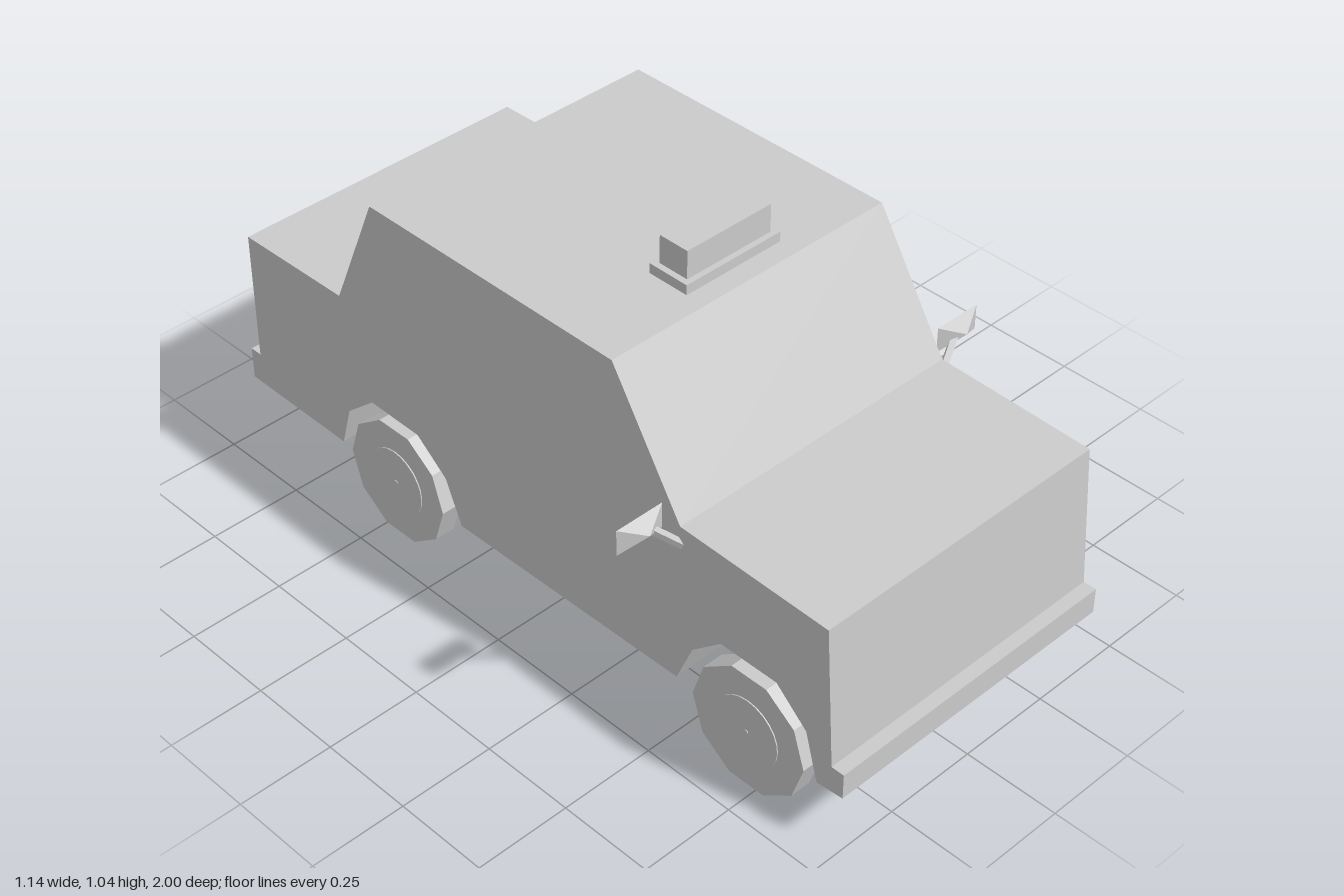
import * as THREE from 'three';

const HALF_W = 0.416;
const material = new THREE.MeshStandardMaterial({ color: 0xcccccc, flatShading: true });

function part(name, geometry, x = 0, y = 0, z = 0) {
  const mesh = new THREE.Mesh(geometry, material);
  mesh.name = name;
  mesh.position.set(x, y, z);
  return mesh;
}

// Cylinder lying along x, with a vertex pointing forward
function disc(radius, width, sides) {
  return new THREE.CylinderGeometry(radius, radius, width, sides).rotateZ(Math.PI / 2);
}

// Side silhouette as (z, y), extruded across the car
function makeBody() {
  const profile = [
    [1, 0.23], [0.965, 0.23], [0.938, 0.6], [0.51, 0.612], // front bumper, nose, hood
    [0.305, 0.94], [-0.48, 0.94], [-0.62, 0.62], // windshield, roof, rear window
    [-0.965, 0.614], [-0.965, 0.26], [-1, 0.26], [-1, 0.172], // trunk, rear bumper
    [-0.65, 0.167], [-0.617, 0.28], [-0.525, 0.358], [-0.36, 0.355], [-0.265, 0.28], [-0.215, 0.165], // rear arch
    [0.503, 0.173], [0.55, 0.285], [0.635, 0.36], [0.80, 0.36], [0.89, 0.28], [0.925, 0.155], // front arch
    [1, 0.162],
  ];
  const shape = new THREE.Shape(profile.map(([z, y]) => new THREE.Vector2(z, y)));
  const geometry = new THREE.ExtrudeGeometry(shape, { depth: 2 * HALF_W, bevelEnabled: false });
  geometry.rotateY(-Math.PI / 2).translate(HALF_W, 0, 0);
  return part('body', geometry);
}

// Ten-sided tyre with a shallow hubcap outside and an axle stub inside
function makeWheel(name, side, z) {
  const wheel = new THREE.Group();
  wheel.name = name;
  wheel.position.set(side * 0.388, 0.16, z);
  wheel.add(
    part('tyre', disc(0.167, 0.056, 10)),
    part('hubcap', disc(0.092, 0.006, 24), side * 0.028),
    part('hubPin', disc(0.006, 0.008, 8), side * 0.029),
    part('axleStub', disc(0.008, 0.05, 8), side * -0.05),
  );
  return wheel;
}

// Wing mirror: a flat pyramid pointing forward, on a slanted arm
function makeMirror(name, side) {
  const mirror = new THREE.Group();
  mirror.name = name;
  const housing = new THREE.ConeGeometry(Math.SQRT1_2, 1, 4)
    .rotateY(Math.PI / 4).rotateX(Math.PI / 2).scale(0.133, 0.068, 0.032);
  mirror.add(part('mirrorHousing', housing, side * 0.502, 0.636, 0.492));

  const start = new THREE.Vector3(side * 0.405, 0.555, 0.514);
  const end = new THREE.Vector3(side * 0.482, 0.632, 0.488);
  const direction = end.clone().sub(start);
  const arm = part('mirrorArm', new THREE.CylinderGeometry(0.011, 0.011, direction.length(), 4));
  arm.position.copy(start).add(end).multiplyScalar(0.5);
  arm.quaternion.setFromUnitVectors(new THREE.Vector3(0, 1, 0), direction.normalize());
  mirror.add(arm);
  return mirror;
}

export function createModel() {
  const car = new THREE.Group();
  car.name = 'car';
  car.add(makeBody());

  // Roof sign on its plinth
  car.add(
    part('signBase', new THREE.BoxGeometry(0.288, 0.03, 0.114), 0, 0.951, 0.194),
    part('signBox', new THREE.BoxGeometry(0.256, 0.08, 0.084), 0, 1.0, 0.194),
  );

  for (const [label, side] of [['Left', 1], ['Right', -1]]) {
    car.add(
      makeWheel('front' + label + 'Wheel', side, 0.72),
      makeWheel('rear' + label + 'Wheel', side, -0.45),
      makeMirror('mirror' + label, side),
    );
  }
  return car;
}
